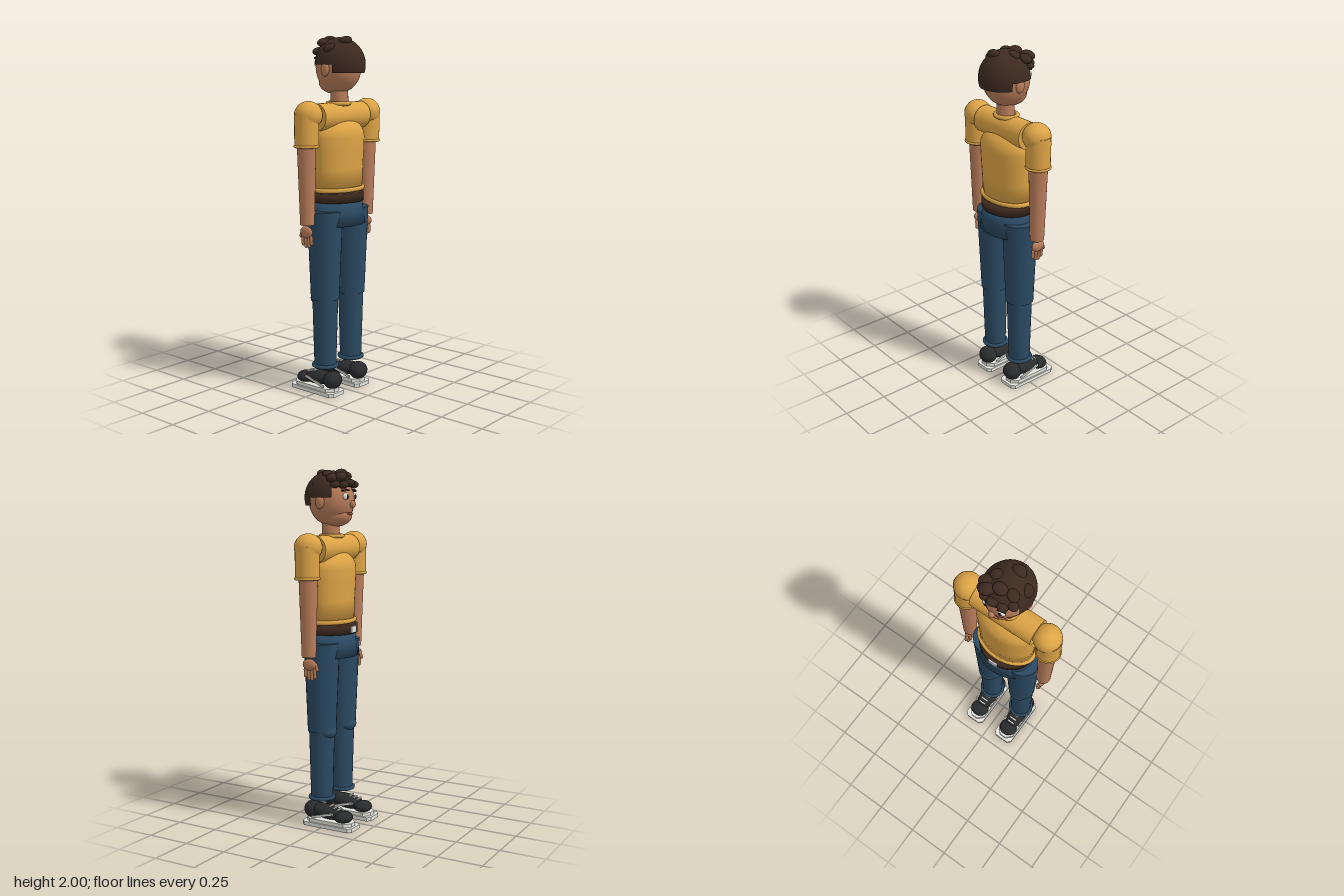
import * as THREE from 'three';

const mat = (name, color, side = THREE.FrontSide) => {
  const m = new THREE.MeshStandardMaterial({ color, side });
  m.name = name;
  return m;
};

export function createModel() {
  const shirt = mat('mustard shirt', 0xdda446);
  const denim = mat('blue denim', 0x2b4a63, THREE.DoubleSide);
  const skin = mat('skin', 0xb97d5a);
  const hair = mat('dark brown hair', 0x3c2a20, THREE.DoubleSide);
  const black = mat('black shoe', 0x2a2b2d);
  const white = mat('white', 0xe4e4de);
  const leather = mat('brown leather', 0x3d291d);
  const lip = mat('lip', 0x94583f);
  const pupil = mat('pupil', 0x18120f);

  const root = new THREE.Group();
  const add = (name, geo, material, x, y, z, parent = root) => {
    const m = new THREE.Mesh(geo, material);
    m.name = name;
    m.position.set(x, y, z);
    parent.add(m);
    return m;
  };
  const ball = (name, material, x, y, z, rx, ry, rz, parent = root) => {
    const m = add(name, new THREE.SphereGeometry(1, 24, 16), material, x, y, z, parent);
    m.scale.set(rx, ry, rz);
    return m;
  };
  const box = (name, material, x, y, z, w, h, d, parent = root) =>
    add(name, new THREE.BoxGeometry(w, h, d), material, x, y, z, parent);
  // Upright tapered cylinder between two heights
  const column = (name, material, x, z, y0, y1, r0, r1, parent = root) =>
    add(name, new THREE.CylinderGeometry(r1, r0, y1 - y0, 24), material, x, (y0 + y1) / 2, z, parent);
  // Horizontal ring, flattened to an ellipse
  const ring = (name, material, x, y, z, rx, rz, tube, parent = root) => {
    const geo = new THREE.TorusGeometry(1, tube / rx, 10, 36).rotateX(Math.PI / 2);
    geo.scale(rx, rx, rz);
    return add(name, geo, material, x, y, z, parent);
  };
  // Lathe with elliptical section: points are [radius in x, height]
  const oval = (name, material, points, depth, z) => {
    const geo = new THREE.LatheGeometry(points.map(p => new THREE.Vector2(...p)), 40);
    geo.scale(1, 1, depth);
    return add(name, geo, material, 0, 0, z);
  };

  // Shirt body with a domed top, shoulder yoke, hem and collar
  const dome = [];
  for (let i = 0; i <= 8; i++) {
    const a = i / 8 * Math.PI / 2;
    dome.push([0.18 * Math.cos(a), 1.45 + 0.115 * Math.sin(a)]);
  }
  oval('shirtBody', shirt, [[0, 1.165], [0.166, 1.165], [0.17, 1.28], [0.177, 1.38], ...dome], 0.655, 0.028);
  const yoke = new THREE.CylinderGeometry(0.075, 0.075, 0.38, 28).rotateZ(Math.PI / 2);
  add('shoulderYoke', yoke, shirt, 0, 1.565, 0.03);
  ring('shirtHem', shirt, 0, 1.165, 0.028, 0.17, 0.113, 0.013);
  ring('collar', shirt, 0, 1.635, 0.03, 0.062, 0.058, 0.012);

  // Belt, buckle and hips
  oval('belt', leather, [[0, 1.095], [0.162, 1.095], [0.162, 1.147], [0, 1.147]], 0.82, 0.025);
  box('buckle', white, 0, 1.12, -0.11, 0.055, 0.036, 0.009);
  oval('hips', denim, [[0, 0.965], [0.178, 0.965], [0.165, 1.04], [0.156, 1.1], [0, 1.1]], 0.76, 0.027);

  // Sole outline with clipped corners
  const soleShape = (w, l, c) => new THREE.Shape([
    [-w + c, -l], [w - c, -l], [w, -l + c], [w, l - c], [w - c, l], [-w + c, l], [-w, l - c], [-w, -l + c],
  ].map(p => new THREE.Vector2(...p)));
  const slab = (w, l, c, h) =>
    new THREE.ExtrudeGeometry(soleShape(w, l, c), { depth: h, bevelEnabled: false }).rotateX(-Math.PI / 2);

  for (const s of [1, -1]) {
    const side = s > 0 ? 'left' : 'right';

    // Arm: shoulder, sleeve, bare arm
    const arm = new THREE.Group();
    arm.name = side + 'Arm';
    root.add(arm);
    ball('shoulder', shirt, s * 0.248, 1.58, 0.03, 0.077, 0.075, 0.077, arm);
    column('sleeve', shirt, s * 0.261, 0.029, 1.41, 1.585, 0.066, 0.067, arm);
    ring('sleeveCuff', shirt, s * 0.261, 1.415, 0.029, 0.063, 0.063, 0.008, arm);
    const limb = column('bareArm', skin, s * 0.256, 0.025, 0.988, 1.45, 0.039, 0.053, arm);
    limb.rotation.z = s * -0.008;

    // Hand: wrist, palm, fingers and thumb
    const hand = new THREE.Group();
    hand.name = side + 'Hand';
    root.add(hand);
    ball('palm', skin, s * 0.257, 0.947, 0.02, 0.018, 0.032, 0.042, hand);
    for (let i = 0; i < 4; i++) {
      const len = [0.035, 0.05, 0.052, 0.04][i];
      const f = add('finger', new THREE.CapsuleGeometry(0.0095, len, 4, 10), skin,
        s * 0.25, 0.918 - len / 2, 0.05 - i * 0.02, hand);
      f.rotation.z = s * -0.08;
    }
    const thumb = add('thumb', new THREE.CapsuleGeometry(0.0095, 0.03, 4, 10), skin, s * 0.25, 0.935, -0.02, hand);
    thumb.rotation.x = 0.35;

    // Trouser leg
    const leg = new THREE.Group();
    leg.name = side + 'Leg';
    root.add(leg);
    column('thigh', denim, s * 0.112, 0.028, 0.55, 1.05, 0.08, 0.1, leg);
    column('shin', denim, s * 0.112, 0.029, 0.16, 0.57, 0.062, 0.073, leg);
    ball('knee', denim, s * 0.112, 0.55, -0.008, 0.06, 0.045, 0.05, leg);
    ring('trouserCuff', denim, s * 0.112, 0.165, 0.029, 0.066, 0.066, 0.011, leg);

    // Shoe
    const shoe = new THREE.Group();
    shoe.name = side + 'Shoe';
    root.add(shoe);
    const cx = s * 0.114;
    add('sole', slab(0.064, 0.16, 0.02, 0.022), white, cx, 0, -0.03, shoe);
    add('midsole', slab(0.056, 0.145, 0.035, 0.02), white, cx, 0.022, -0.03, shoe);
    ball('heel', black, cx, 0.085, 0.085, 0.057, 0.05, 0.052, shoe);
    const upper = ball('upper', black, cx, 0.083, -0.005, 0.055, 0.04, 0.115, shoe);
    upper.rotation.x = -0.12;
    ball('toe', black, cx, 0.065, -0.112, 0.057, 0.033, 0.053, shoe);
    for (const t of [1, -1]) {
      const stripe = box('sideStripe', white, cx + t * 0.054, 0.07, -0.005, 0.008, 0.013, 0.14, shoe);
      stripe.rotation.x = 0.26;
    }
    for (let i = 0; i < 3; i++)
      box('lace', white, cx, 0.121 - i * 0.007, -0.035 - i * 0.025, 0.045, 0.008, 0.008, shoe);

    // Ear, eye and brow
    ball(side + 'Ear', skin, s * 0.12, 1.82, 0.036, 0.016, 0.038, 0.027);
    ball(side + 'Eye', white, s * 0.045, 1.85, -0.084, 0.023, 0.019, 0.013);
    ball(side + 'Pupil', pupil, s * 0.043, 1.849, -0.094, 0.01, 0.012, 0.006);
    const brow = box(side + 'Brow', hair, s * 0.047, 1.883, -0.084, 0.046, 0.01, 0.018);
    brow.rotation.set(0, s * -0.3, s * -0.12);
  }

  // Neck, head and face
  column('neck', skin, 0, 0.036, 1.62, 1.74, 0.05, 0.048);
  ball('head', skin, 0, 1.828, 0.03, 0.12, 0.138, 0.13);
  ball('jaw', skin, 0, 1.748, 0.002, 0.085, 0.062, 0.09);
  ball('nose', skin, 0, 1.808, -0.102, 0.017, 0.02, 0.018);
  ball('mouth', lip, 0, 1.757, -0.088, 0.03, 0.007, 0.008);

  // Hair cap in stepped panels: nape, sides and brow line
  const panels = [
    ['hairBack', 0.38, Math.PI - 0.76, -0.3],
    ['hairRightSide', -0.52, 0.9, 0],
    ['hairLeftSide', Math.PI - 0.38, 0.9, 0],
    ['hairFront', Math.PI + 0.52, Math.PI - 1.04, 0.41],
  ];
  for (const [name, start, sweep, low] of panels) {
    const geo = new THREE.SphereGeometry(1, 16, 14, start, sweep, 0, Math.acos(low));
    add(name, geo, hair, 0, 1.845, 0.036).scale.set(0.137, 0.147, 0.149);
  }

  // Loose curls on the crown and fringe: x, y, z, size
  const curls = [
    [-0.068, 1.965, -0.02, 0.036], [-0.1, 1.935, 0.05, 0.036], [-0.02, 1.972, 0.095, 0.04],
    [0.055, 1.97, 0.022, 0.036], [0.088, 1.95, -0.025, 0.038], [0.06, 1.955, -0.062, 0.042],
    [0, 1.975, -0.03, 0.04], [-0.085, 1.918, -0.045, 0.032], [-0.045, 1.915, -0.078, 0.034],
    [0.005, 1.922, -0.085, 0.034], [0.052, 1.913, -0.076, 0.034], [0.09, 1.915, -0.045, 0.032],
  ];
  for (const [x, y, z, r] of curls) {
    const c = ball('curl', hair, x, y, z, r, r * 0.62, r * 0.85);
    c.rotation.set(z * -3, x * 6, x * -4);
  }
  return root;
}
